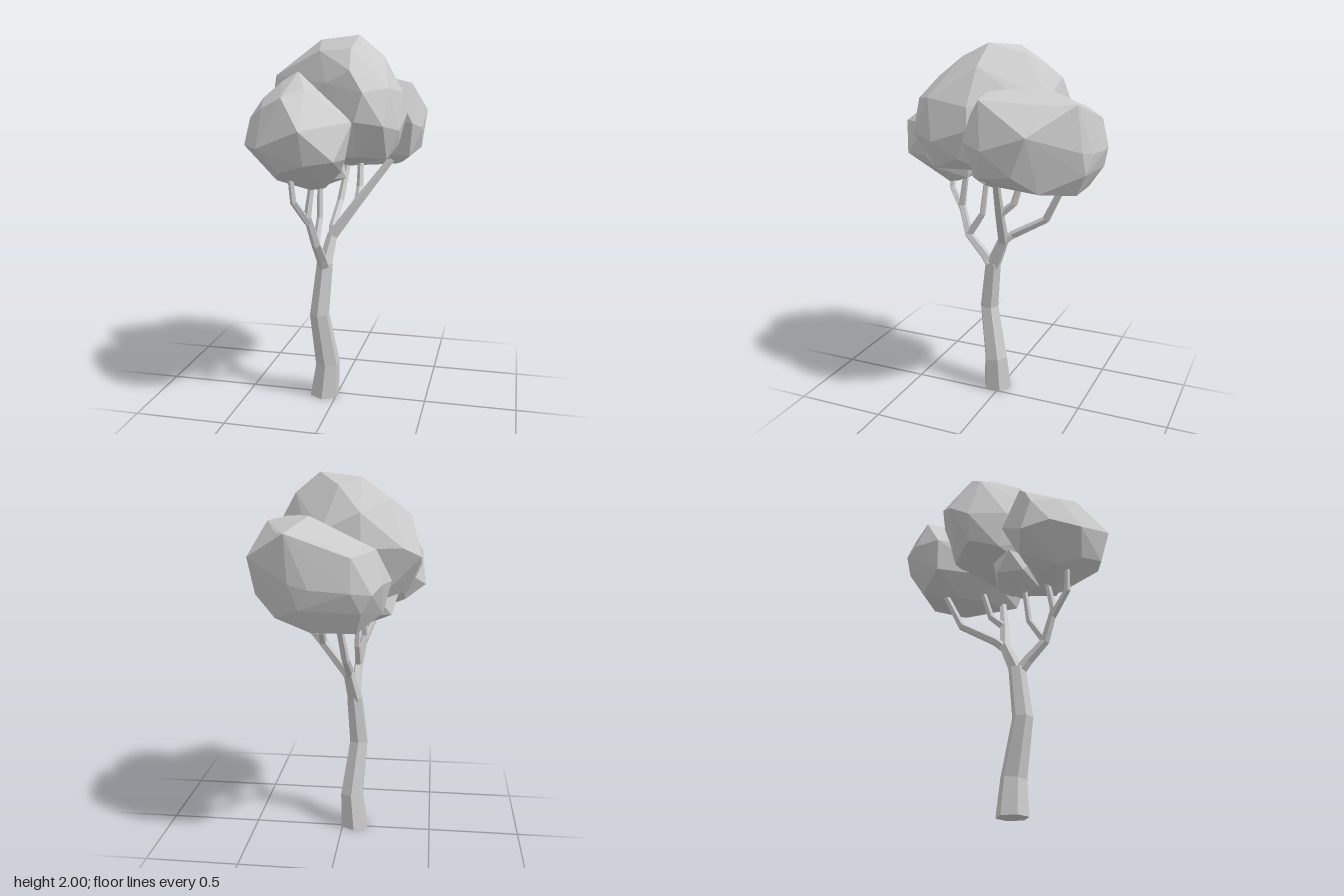
import * as THREE from 'three';
import { ConvexGeometry } from 'three/addons/geometries/ConvexGeometry.js';

const material = new THREE.MeshStandardMaterial({ color: 0xcccccc, flatShading: true });

// Tapered faceted limb: one ring of corners per [x, y, z, radius] station
function limbGeometry(stations, sides) {
  const centres = stations.map(([x, y, z]) => new THREE.Vector3(x, y, z));
  const last = centres.length - 1;
  const xAxis = new THREE.Vector3(1, 0, 0);
  const positions = [], index = [];
  centres.forEach((c, i) => {
    const t = centres[Math.min(i + 1, last)].clone().sub(centres[Math.max(i - 1, 0)]).normalize();
    const u = xAxis.clone().cross(t).normalize();
    const v = t.clone().cross(u);
    for (let j = 0; j < sides; j++) {
      const a = (j / sides) * Math.PI * 2, r = stations[i][3];
      const p = c.clone().addScaledVector(u, r * Math.cos(a)).addScaledVector(v, r * Math.sin(a));
      positions.push(p.x, c.y === 0 ? 0 : p.y, p.z);
    }
  });
  for (let i = 0; i < last; i++) {
    for (let j = 0; j < sides; j++) {
      const a = i * sides + j, b = i * sides + (j + 1) % sides;
      index.push(a, b, b + sides, a, b + sides, a + sides);
    }
  }
  // End caps
  const top = last * sides;
  for (let j = 1; j < sides - 1; j++) index.push(0, j + 1, j, top, top + j, top + j + 1);
  const geometry = new THREE.BufferGeometry();
  geometry.setAttribute('position', new THREE.Float32BufferAttribute(positions, 3));
  geometry.setIndex(index);
  const flat = geometry.toNonIndexed();
  flat.computeVertexNormals();
  return flat;
}

const trunk = [[-0.07, 0, 0.022, 0.085], [-0.052, 0.195, 0.025, 0.069], [-0.085, 0.5, 0.08, 0.055], [-0.062, 0.78, 0.046, 0.046]];

const branches = {
  // Forward fork with three twigs
  frontBranch: [[-0.062, 0.75, 0.05, 0.034], [-0.065, 0.82, 0.105, 0.029], [-0.07, 0.92, 0.2, 0.025], [-0.1, 1.08, 0.255, 0.021], [-0.08, 1.3, 0.215, 0.016]],
  frontOuterTwig: [[-0.1, 1.05, 0.25, 0.02], [-0.15, 1.17, 0.34, 0.018], [-0.165, 1.32, 0.345, 0.015]],
  frontInnerTwig: [[-0.07, 0.92, 0.2, 0.022], [-0.07, 1.05, 0.115, 0.018], [-0.075, 1.3, 0.085, 0.014]],
  // Rear fork with three twigs
  backBranch: [[-0.062, 0.76, 0.046, 0.043], [-0.035, 0.92, -0.025, 0.032], [0.1, 1.11, -0.06, 0.026], [0.3, 1.38, -0.12, 0.019]],
  backOuterTwig: [[-0.03, 0.92, -0.03, 0.026], [-0.045, 0.96, -0.08, 0.024], [-0.045, 1.07, -0.27, 0.022], [-0.02, 1.31, -0.39, 0.018]],
  backInnerTwig: [[0.1, 1.11, -0.06, 0.023], [0.095, 1.18, -0.14, 0.02], [0.09, 1.38, -0.2, 0.017]],
};

// Corner points of each faceted leaf mass
const crowns = {
  middleFoliage: [
    [0.115, 2, -0.01], [-0.11, 1.978, -0.09], [-0.26, 1.88, -0.17], [-0.365, 1.79, -0.09], [-0.12, 1.82, -0.32], [0, 1.94, -0.17],
    [0.245, 1.895, 0], [0.1, 1.93, 0.14], [-0.08, 1.92, 0.07], [0.35, 1.71, 0.01], [0.31, 1.74, 0.24], [0.2, 1.72, 0.345],
    [0.12, 1.825, 0.27], [-0.01, 1.76, 0.22], [-0.24, 1.79, 0.01], [-0.42, 1.6, -0.24], [-0.42, 1.55, -0.14], [-0.33, 1.65, -0.31],
    [-0.13, 1.65, -0.36], [0.07, 1.73, -0.31], [0.17, 1.74, -0.2], [0.28, 1.65, -0.08], [0.37, 1.6, 0], [0.36, 1.53, 0.2],
    [0.3, 1.56, 0.33], [0.16, 1.58, 0.355], [0, 1.58, 0.265], [-0.17, 1.6, 0.12], [-0.31, 1.6, 0.04], [0.3, 1.385, 0.21],
    [0.34, 1.45, 0.07], [0.15, 1.4, 0.27], [0.1, 1.34, 0.1], [-0.05, 1.37, 0.14], [-0.3, 1.4, 0], [-0.36, 1.42, -0.15],
    [-0.2, 1.38, -0.27], [0.05, 1.38, -0.2], [0.24, 1.38, -0.05],
  ],
  backFoliage: [
    [0.385, 1.755, -0.07], [0.28, 1.78, -0.07], [0.2, 1.79, -0.15], [0.13, 1.8, -0.3], [0.04, 1.69, -0.51], [0.22, 1.735, -0.51],
    [-0.04, 1.71, -0.41], [-0.21, 1.66, -0.44], [-0.1, 1.63, -0.545], [0.28, 1.73, -0.4], [0.44, 1.6, -0.33], [0.44, 1.52, -0.1],
    [0.4, 1.55, 0.01], [0.33, 1.6, -0.42], [0.2, 1.5, -0.535], [0.1, 1.48, -0.56], [-0.1, 1.47, -0.575], [-0.2, 1.46, -0.555],
    [-0.24, 1.5, -0.49], [-0.28, 1.5, -0.35], [0.1, 1.6, -0.05], [0.34, 1.66, 0], [0.42, 1.4, -0.25], [0.38, 1.37, -0.05],
    [0.3, 1.32, -0.12], [0.3, 1.3, -0.35], [0.15, 1.38, -0.54], [0.1, 1.26, -0.48], [-0.12, 1.26, -0.48], [-0.15, 1.37, -0.55],
    [-0.24, 1.34, -0.36], [0, 1.275, -0.3], [0.15, 1.31, -0.16], [0, 1.4, -0.12],
  ],
  frontFoliage: [
    [-0.19, 1.815, 0.09], [-0.27, 1.765, 0.11], [-0.36, 1.68, 0.16], [-0.1, 1.74, 0.31], [-0.19, 1.695, 0.41], [-0.01, 1.7, 0.26],
    [-0.31, 1.64, 0.34], [-0.42, 1.58, 0.2], [-0.44, 1.4, 0.15], [-0.42, 1.45, 0.3], [-0.31, 1.45, 0.45], [-0.06, 1.55, 0.57],
    [0.03, 1.54, 0.47], [0.09, 1.4, 0.485], [0.15, 1.58, 0.34], [0.12, 1.4, 0.36], [-0.05, 1.38, 0.52], [0.09, 1.33, 0.32],
    [0, 1.24, 0.28], [-0.08, 1.225, 0.27], [-0.25, 1.275, 0.3], [-0.2, 1.33, 0.43], [0, 1.27, 0.17], [-0.2, 1.26, 0.18],
    [-0.33, 1.32, 0.12], [-0.31, 1.5, 0.02], [-0.1, 1.5, 0.06], [0.05, 1.45, 0.15],
  ],
};

export function createModel() {
  const model = new THREE.Group();
  const add = (name, geometry) => {
    const mesh = new THREE.Mesh(geometry, material);
    mesh.name = name;
    model.add(mesh);
  };

  add('trunk', limbGeometry(trunk, 6));
  for (const [name, stations] of Object.entries(branches)) add(name, limbGeometry(stations, 5));
  for (const [name, points] of Object.entries(crowns)) {
    add(name, new ConvexGeometry(points.map((p) => new THREE.Vector3(...p))));
  }

  // Small leaf clump tucked under the crown, one corner pointing down
  const clump = new THREE.IcosahedronGeometry(1, 0).rotateZ(0.553);
  add('smallFoliage', clump.scale(0.2, 0.125, 0.135).translate(-0.12, 1.315, 0.055));

  return model;
}
